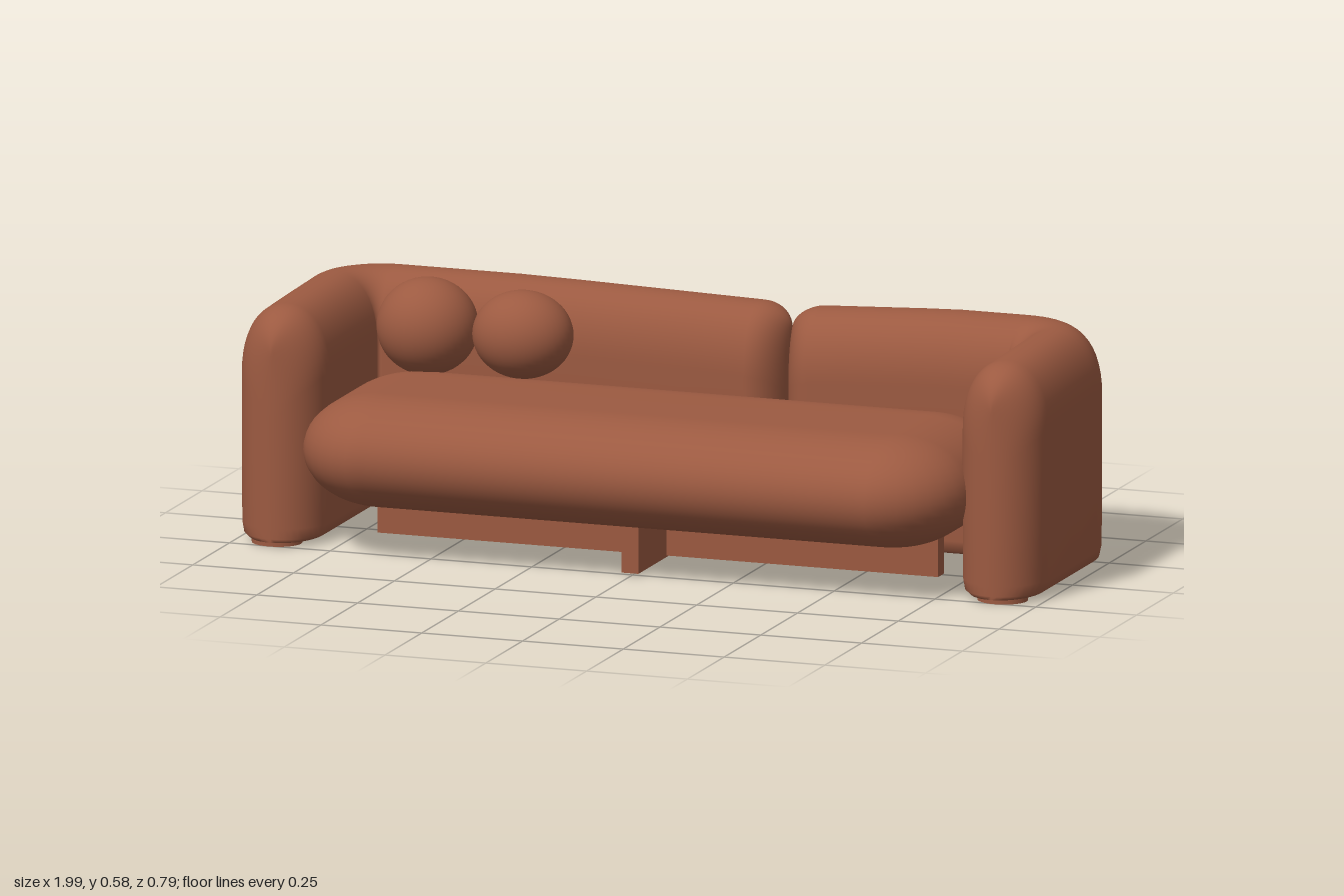
import * as THREE from 'three';
import { mergeVertices } from 'three/addons/utils/BufferGeometryUtils.js';

const fabric = new THREE.MeshStandardMaterial({ color: 0x9c5a41 });
fabric.name = 'terracotta fabric';

// Smooth skin through a list of equally long closed rings
function loft(rings, flip = false) {
  const n = rings[0].length, pos = [], idx = [];
  rings.forEach(r => r.forEach(p => pos.push(p.x, p.y, p.z)));
  for (let i = 0; i < rings.length - 1; i++) {
    for (let j = 0; j < n; j++) {
      const a = i * n + j, b = i * n + (j + 1) % n, c = a + n, d = b + n;
      if (flip) idx.push(a, c, b, b, c, d);
      else idx.push(a, b, c, b, d, c);
    }
  }
  let g = new THREE.BufferGeometry();
  g.setAttribute('position', new THREE.Float32BufferAttribute(pos, 3));
  g.setIndex(idx);
  g = mergeVertices(g, 1e-5);
  g.computeVertexNormals();
  return g;
}

function add(group, name, geometry, x = 0, y = 0, z = 0) {
  const m = new THREE.Mesh(geometry, fabric);
  m.name = name;
  m.position.set(x, y, z);
  group.add(m);
  return m;
}

// Upright padded section: u runs across the thickness, domed at the top
function section(top) {
  const pts = [], dome = 0.16, e = 2 / 2.2;
  for (let i = 0; i <= 24; i++) {
    const a = Math.PI * i / 24, c = Math.cos(a);
    pts.push([Math.sign(c) * Math.abs(c) ** e, top - dome + dome * Math.abs(Math.sin(a)) ** e]);
  }
  pts.push([-1, 0.2], [-0.99, 0.045], [-0.94, 0.02], [-0.82, 0.012]);
  pts.push([0.82, 0.012], [0.94, 0.02], [0.99, 0.045], [1, 0.2]);
  return pts;
}

// L-shaped back and arm, swept from the gap round the corner to the arm front
function backAndArm(side, gap, backHalf, armHalf) {
  const r = 0.115, xc = 0.997 - armHalf, zc = -0.395 + backHalf, front = 0.267;
  const cx = xc - r, cz = zc + r, capBack = 0.08, capArm = 0.115;
  const stations = []; // x, z, turn, half thickness, top
  const steps = 10, lowTop = 0.553, highTop = 0.568;
  for (let k = 0; k <= steps; k++) { // rounded end at the gap
    const t = k / steps * Math.PI / 2;
    stations.push([gap + capBack * (1 - Math.cos(t)), zc, 0, backHalf * Math.sin(t),
      lowTop - 0.06 * (1 - Math.sin(t))]);
  }
  for (let k = 1; k < 6; k++) { // straight back
    const t = k / 6;
    stations.push([THREE.MathUtils.lerp(gap + capBack, cx, t), zc, 0, backHalf,
      THREE.MathUtils.lerp(lowTop, highTop, Math.min(1, t * 1.6))]);
  }
  for (let k = 0; k <= 12; k++) { // corner
    const t = k / 12, f = t * Math.PI / 2;
    stations.push([cx + r * Math.sin(f), cz - r * Math.cos(f), f,
      THREE.MathUtils.lerp(backHalf, armHalf, t), highTop]);
  }
  stations.push([xc, 0, Math.PI / 2, armHalf, 0.565]);
  for (let k = steps; k >= 0; k--) { // rounded arm front
    const t = k / steps * Math.PI / 2;
    stations.push([xc, front - capArm * (1 - Math.cos(t)), Math.PI / 2, armHalf * Math.sin(t),
      0.561 - 0.1 * (1 - Math.sin(t))]);
  }
  const rings = stations.map(([x, z, f, w, top]) => section(top).map(([u, y]) =>
    new THREE.Vector3(side * (x + u * w * Math.sin(f)), y, z - u * w * Math.cos(f))));
  return loft(rings, side < 0);
}

// Rounded rectangle ring in plan, pulled in by an inset
function planRing(y, inset) {
  const hx = 0.825 - inset, hz = 0.302 - inset, r = 0.2 - inset, zMid = 0.092, pts = [];
  const corners = [[1, 1], [1, -1], [-1, -1], [-1, 1]];
  corners.forEach(([sx, sz], q) => {
    for (let k = 0; k <= 8; k++) {
      const a = (q + k / 8) * Math.PI / 2;
      pts.push(new THREE.Vector3(sx * (hx - r) + r * Math.sin(a), y,
        zMid + sz * (hz - r) + r * Math.cos(a)));
    }
  });
  return pts;
}

function seatGeometry() {
  const mid = 0.243, half = 0.132, rings = [];
  const centre = y => planRing(y, 0).map(() => new THREE.Vector3(0, y, 0.092));
  rings.push(centre(mid - half));
  for (let k = -12; k <= 12; k++) {
    const a = k / 12 * Math.PI / 2;
    rings.push(planRing(mid + half * Math.sin(a), 0.19 * (1 - Math.cos(a) ** 0.95)));
  }
  rings.push(centre(mid + half));
  return loft(rings);
}

export function createModel() {
  const sofa = new THREE.Group();
  sofa.name = 'sofa';

  // Upholstered shells
  add(sofa, 'rightBackAndArm', backAndArm(-1, -0.2, 0.11, 0.105));
  add(sofa, 'leftBackAndArm', backAndArm(1, 0.207, 0.122, 0.103));
  add(sofa, 'seatCushion', seatGeometry());

  // Ball pillows
  const ball = new THREE.SphereGeometry(1, 40, 28);
  add(sofa, 'outerPillow', ball, -0.642, 0.469, -0.117).scale.set(0.12, 0.115, 0.115);
  add(sofa, 'innerPillow', ball, -0.405, 0.467, -0.115).scale.set(0.12, 0.104, 0.105);

  // Crossed support under the seat
  add(sofa, 'longSupport', new THREE.BoxGeometry(1.39, 0.13, 0.04), -0.003, 0.075, 0.05);
  add(sofa, 'crossSupport', new THREE.BoxGeometry(0.042, 0.134, 0.43), -0.003, 0.073, 0.045);

  // Flat glides under the shells
  const pad = new THREE.CylinderGeometry(1, 1, 0.02, 28);
  for (const s of [-1, 1]) {
    add(sofa, 'frontGlide', pad, s * 0.9, 0.01, 0.2).scale.set(0.06, 1, 0.055);
    add(sofa, 'cornerGlide', pad, s * 0.87, 0.01, -0.305).scale.set(0.07, 1, 0.05);
  }
  add(sofa, 'gapGlide', pad, 0.25, 0.01, -0.285).scale.set(0.09, 1, 0.04);

  return sofa;
}
